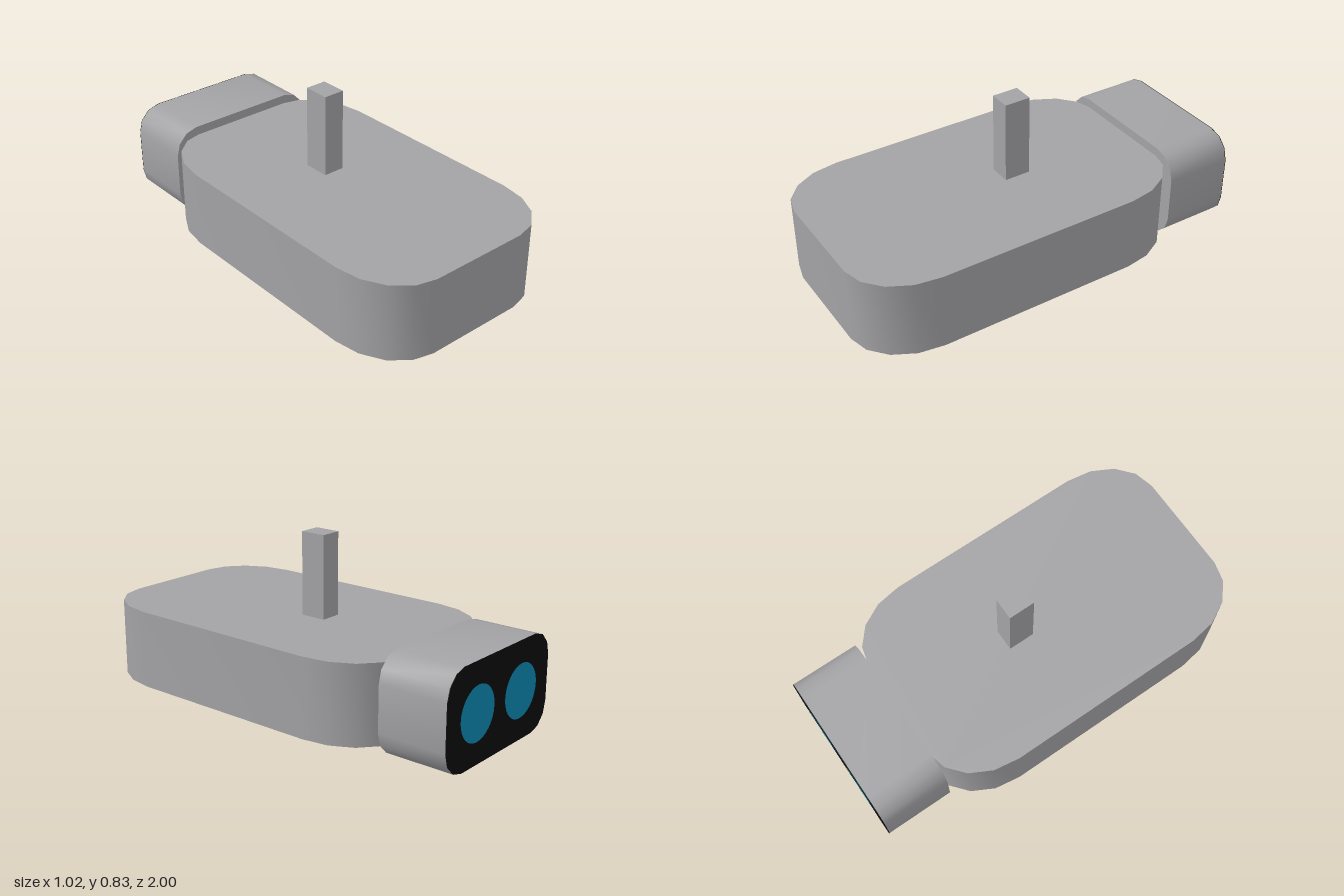
import * as THREE from 'three';
import { toCreasedNormals } from 'three/addons/utils/BufferGeometryUtils.js';

const grey = new THREE.MeshStandardMaterial({ color: 0xa3a2a5 });
grey.name = 'grey plastic';
const black = new THREE.MeshStandardMaterial({ color: 0x0d0d0d });
black.name = 'black face';
const blue = new THREE.MeshStandardMaterial({ color: 0x0d88b3 });
blue.name = 'blue lens';

// Rectangle of half-size w by h with elliptical corners in a few straight steps
function roundedShape(w, h, rx, ry, steps) {
  const points = [];
  for (let corner = 0; corner < 4; corner++) {
    const sx = corner === 0 || corner === 3 ? 1 : -1;
    const sy = corner < 2 ? 1 : -1;
    for (let i = 0; i <= steps; i++) {
      const a = (corner + i / steps) * Math.PI / 2;
      points.push(new THREE.Vector2(
        sx * (w - rx) + Math.cos(a) * rx,
        sy * (h - ry) + Math.sin(a) * ry));
    }
  }
  return new THREE.Shape(points);
}

// Slab extruded along +z with smooth corners and sharp rims
function slab(shape, depth) {
  const geometry = new THREE.ExtrudeGeometry(shape, { depth, bevelEnabled: false });
  return toCreasedNormals(geometry, 0.8);
}

export function createModel() {
  const model = new THREE.Group();
  model.name = 'model';

  function add(name, geometry, material, x, y, z) {
    const mesh = new THREE.Mesh(geometry, material);
    mesh.name = name;
    mesh.position.set(x, y, z);
    model.add(mesh);
    return mesh;
  }

  // Main body, outline lying flat
  const body = slab(roundedShape(0.512, 0.83, 0.26, 0.33, 4), 0.38);
  body.rotateX(-Math.PI / 2);
  add('body', body, grey, 0, 0.045, 0.17);

  // Square post on top
  add('post', new THREE.BoxGeometry(0.106, 0.405, 0.13), grey, 0, 0.6275, 0);

  // Head at the back with its dark face plate
  const headShape = roundedShape(0.4, 0.235, 0.12, 0.125, 3);
  add('head', slab(headShape, 0.341), grey, 0, 0.235, -0.996);
  add('facePlate', slab(headShape, 0.003), black, 0, 0.235, -0.999);

  // Two round lenses
  for (const side of [-1, 1]) {
    const lens = new THREE.CircleGeometry(0.129, 32);
    lens.rotateY(Math.PI);
    add(side > 0 ? 'leftLens' : 'rightLens', lens, blue, side * 0.172, 0.235, -1);
  }

  return model;
}
